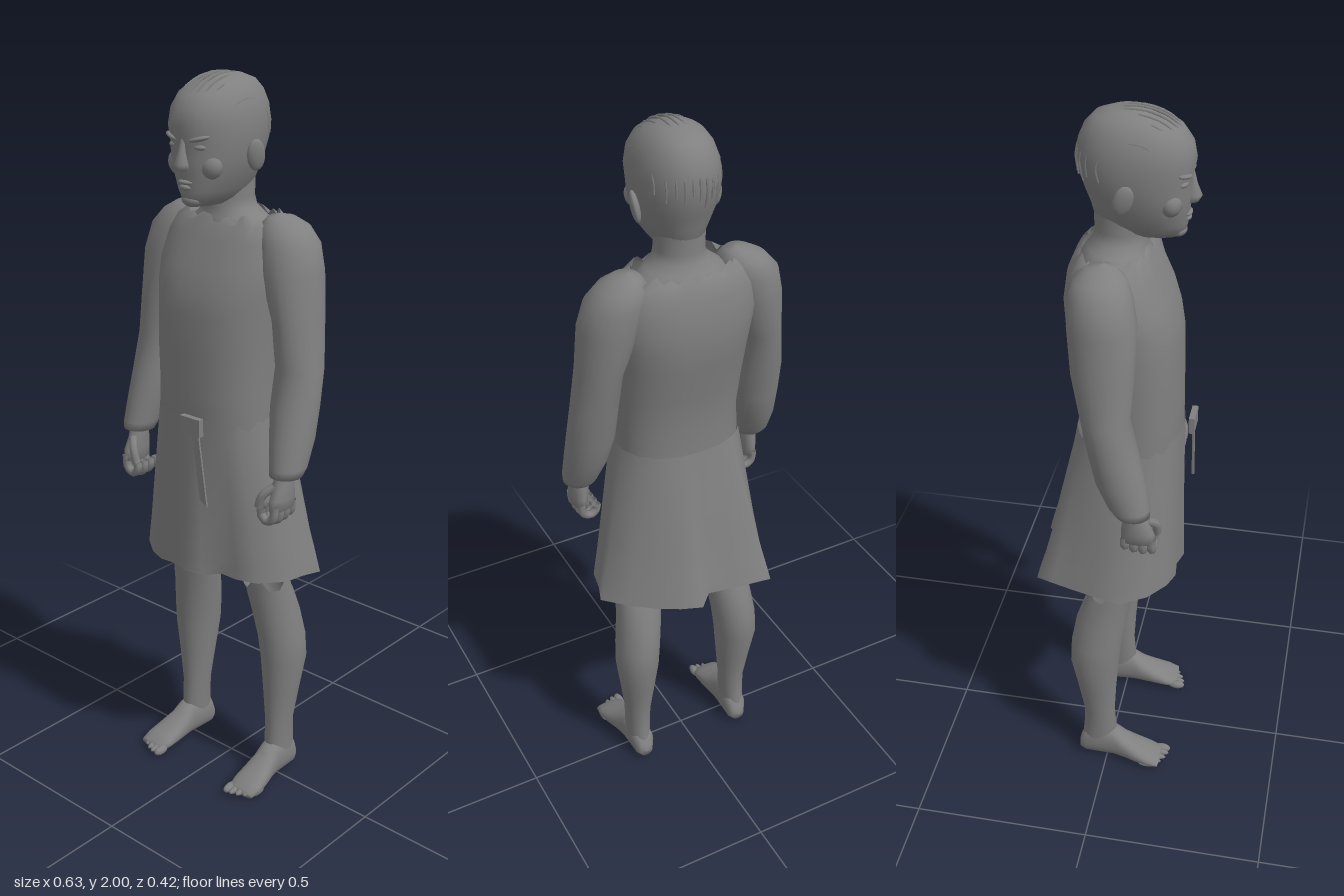
import * as THREE from 'three';

const grey = new THREE.MeshStandardMaterial({ color: 0x808080, side: THREE.DoubleSide });
grey.name = 'plain grey';

function add(group, name, geometry) {
  const mesh = new THREE.Mesh(geometry, grey);
  mesh.name = name;
  group.add(mesh);
  return mesh;
}

// Skin over closed rings of [x, y, z] points, listed from top to bottom
function skin(rings) {
  const n = rings[0].length, index = [];
  for (let i = 0; i < rings.length - 1; i++) {
    for (let j = 0; j < n; j++) {
      const a = i * n + j, b = i * n + (j + 1) % n;
      index.push(a, a + n, b, b, a + n, b + n);
    }
  }
  const g = new THREE.BufferGeometry();
  g.setAttribute('position', new THREE.Float32BufferAttribute(rings.flat(2), 3));
  g.setIndex(index);
  g.computeVertexNormals();
  return g;
}

// Point on a rounded cross-section [y, centre x, front z, back z, half width]
function sectionPoint([y, cx, zf, zb, rx], angle, power = 2) {
  const p = (v) => Math.sign(v) * Math.abs(v) ** (2 / power);
  return [cx + rx * p(Math.sin(angle)), y, (zf + zb) / 2 + (zf - zb) / 2 * p(Math.cos(angle))];
}

// Loft through sections; topEdge(j) raises or lowers the first ring to make a ragged edge
function loft(sections, { n = 24, power = 2, topEdge = null } = {}) {
  return skin(sections.map((s, i) => Array.from({ length: n }, (_, j) => {
    const p = sectionPoint(s, j / n * Math.PI * 2, power);
    if (i === 0 && topEdge) p[1] += topEdge(j);
    return p;
  })));
}

function tube(points, radius, sides = 7, steps = 10) {
  const curve = new THREE.CatmullRomCurve3(points.map((p) => new THREE.Vector3(...p)));
  return new THREE.TubeGeometry(curve, steps, radius, sides);
}

function blob(group, name, pos, size) {
  const m = add(group, name, new THREE.SphereGeometry(1, 12, 8));
  m.position.set(...pos);
  m.scale.set(...size);
  return m;
}

function buildHead() {
  const head = new THREE.Group();
  head.name = 'head';
  add(head, 'skull', loft([
    [2.0, 0, .04, .04, 0], [1.995, 0, .075, -.02, .04], [1.98, 0, .115, -.06, .068],
    [1.955, 0, .158, -.083, .088], [1.92, 0, .182, -.098, .102], [1.88, 0, .19, -.102, .107],
    [1.84, 0, .182, -.097, .105], [1.8, 0, .183, -.083, .099], [1.76, 0, .178, -.068, .087],
    [1.72, 0, .174, -.058, .068], [1.695, 0, .168, -.04, .05], [1.68, 0, .15, -.01, .03],
    [1.675, 0, .1, .1, 0],
  ], { n: 32, power: 2.15 }));
  add(head, 'neck', loft([
    [1.75, 0, .08, -.062, .066], [1.69, 0, .077, -.06, .064], [1.665, 0, .076, -.065, .07],
    [1.645, 0, .08, -.08, .095], [1.62, 0, .09, -.095, .13], [1.58, 0, .09, -.1, .15],
  ]));
  // Face
  add(head, 'nose', loft([
    [1.855, 0, .184, .16, .008], [1.82, 0, .193, .16, .012],
    [1.79, 0, .206, .16, .019], [1.775, 0, .198, .16, .02], [1.77, 0, .17, .17, 0],
  ], { n: 12 }));
  blob(head, 'upperLip', [0, 1.744, .171], [.024, .007, .013]);
  blob(head, 'lowerLip', [0, 1.731, .169], [.02, .008, .013]);
  blob(head, 'chin', [0, 1.697, .148], [.03, .018, .024]);
  for (const s of [1, -1]) {
    const brow = blob(head, 'brow', [s * .043, 1.853, .168], [.03, .007, .014]);
    brow.rotation.set(0, s * .35, s * .22);
    const eye = blob(head, 'eye', [s * .042, 1.832, .164], [.019, .008, .012]);
    eye.rotation.y = s * .3;
    blob(head, 'cheek', [s * .05, 1.785, .135], [.035, .035, .03]);
    const ear = blob(head, 'ear', [s * .108, 1.805, .03], [.012, .042, .026]);
    ear.rotation.set(.2, s * -.35, s * -.12);
  }
  // Thin strands combed from the hairline to the nape
  for (let i = -5; i <= 5; i++) {
    const pts = [];
    const k = i / 6, w = Math.sqrt(1 - k * k);
    for (let t = 0; t <= 7; t++) {
      const a = .6 + Math.abs(k) * .15 + t / 7 * (2.7 - (i % 2) * .15);
      pts.push([k * .108, 1.87 + .13 * w * Math.sin(a), .043 + .147 * w * Math.cos(a)]);
    }
    add(head, 'hairStrand', tube(pts, .0035, 4, 16));
  }
  return head;
}

function buildTunic() {
  const tunic = new THREE.Group();
  tunic.name = 'tunic';
  add(tunic, 'bodice', loft([
    [1.645, 0, .075, -.09, .135], [1.63, 0, .09, -.105, .165], [1.59, 0, .108, -.122, .19],
    [1.52, 0, .14, -.132, .2], [1.46, 0, .16, -.13, .193], [1.4, 0, .17, -.124, .185],
    [1.3, 0, .173, -.102, .18], [1.2, 0, .175, -.09, .172], [1.12, 0, .176, -.092, .175],
    [1.05, 0, .17, -.09, .17],
  ], { n: 40, power: 2.4, topEdge: (j) => [.012, -.008, .004, -.012, .008][j % 5] }));

  // Flared skirt: waist section blended into an uneven hem outline of [x, z]
  const hem = [
    [0, .192], [.05, .18], [.09, .14], [.14, .14], [.2, .12], [.25, .06], [.262, 0], [.28, -.05],
    [.22, -.11], [.16, -.155], [.1, -.19], [.042, -.212], [0, -.168], [-.08, -.182],
    [-.185, -.197], [-.2, -.15], [-.215, -.1], [-.235, -.03], [-.255, .05], [-.21, .12],
    [-.15, .165], [-.1, .183], [-.05, .178],
  ];
  const waist = [1.13, 0, .179, -.106, .177];
  const rings = [0, .12, .28, .45, .62, .8, .92, 1].map((t) => hem.map(([x, z]) => {
    const w = sectionPoint(waist, Math.atan2(x / .26, z / .19), 2.3);
    const k = t < .92 ? t * .97 : t;
    return [w[0] + (x - w[0]) * k, 1.13 - .45 * t, w[2] + (z - w[2]) * k];
  }));
  add(tunic, 'skirt', skin(rings));

  // Belt buckle with a hanging strap end
  const buckle = add(tunic, 'buckle', new THREE.BoxGeometry(.068, .048, .016));
  buckle.position.set(.037, 1.117, .199);
  const strap = new THREE.Shape([[.04, 1.095], [.062, 1.095], [.09, .9], [.066, .915]]
    .map((p) => new THREE.Vector2(...p)));
  add(tunic, 'strapEnd', new THREE.ExtrudeGeometry(strap, { depth: .005, bevelEnabled: false }))
    .position.z = .196;
  return tunic;
}

function buildArm(s) {
  const arm = new THREE.Group();
  arm.name = s > 0 ? 'leftArm' : 'rightArm';
  add(arm, 'sleeve', loft([
    [1.66, .15, -.01, -.01, 0], [1.652, .158, .025, -.05, .035], [1.63, .168, .052, -.08, .064],
    [1.59, .185, .07, -.09, .083], [1.52, .203, .085, -.09, .081], [1.4, .232, .085, -.076, .059],
    [1.28, .246, .077, -.05, .064], [1.18, .25, .1, -.03, .065], [1.1, .259, .12, -.01, .057],
    [1.03, .268, .134, .025, .047], [1.008, .268, .135, .045, .043], [1.0, .266, .09, .09, 0],
  ].map(([y, x, ...r]) => [y, s * x, ...r])));
  add(arm, 'palm', loft([
    [1.02, .265, .12, .065, .024], [.985, .266, .13, .062, .024], [.95, .268, .148, .058, .023],
    [.92, .267, .15, .058, .02], [.905, .266, .1, .1, 0],
  ].map(([y, x, ...r]) => [y, s * x, ...r]), { n: 14 }));
  for (let i = 0; i < 4; i++) {
    const z = .068 + i * .024, d = [.008, .002, 0, .004][i];
    add(arm, 'finger', tube([[s * .272, .935, z], [s * .268, .895 + d, z], [s * .246, .883 + d, z],
      [s * .227, .9 + d, z], [s * .23, .922, z]], .012));
  }
  add(arm, 'thumb', tube([[s * .26, .985, .125], [s * .237, .96, .146], [s * .225, .925, .148]], .012));
  return arm;
}

function buildLeg(s) {
  const leg = new THREE.Group();
  leg.name = s > 0 ? 'leftLeg' : 'rightLeg';
  add(leg, 'shin', loft([
    [.635, .136, .07, -.055, .066], [.6, .141, .064, -.068, .065], [.53, .15, .052, -.092, .064],
    [.45, .161, .04, -.106, .064], [.38, .166, .033, -.108, .062], [.28, .164, .025, -.088, .05],
    [.18, .163, .02, -.07, .038], [.11, .164, .026, -.073, .035], [.04, .165, .02, -.08, .03],
  ].map(([y, x, ...r]) => [y, s * x, ...r]), { topEdge: (j) => (j % 6 < 3 ? .012 : -.012) }));
  // Foot lofted from toe to heel, then laid along z
  add(leg, 'foot', loft([
    [.165, .176, -.02, -.02, 0], [.16, .176, -.01, -.035, .043], [.13, .175, -.008, -.05, .048],
    [.09, .172, -.008, -.068, .045], [.05, .168, -.008, -.09, .038], [.02, .166, -.008, -.115, .035],
    [-.03, .164, -.006, -.12, .034], [-.065, .163, -.006, -.1, .032], [-.083, .163, -.014, -.06, .02],
    [-.088, .163, -.035, -.035, 0],
  ].map(([y, x, ...r]) => [y, s * x, ...r]), { power: 2.3 }).rotateX(Math.PI / 2));
  // Five toes, the biggest on the inner side
  for (let i = 0; i < 5; i++) {
    const r = i === 0 ? .013 : .0095 - i * .0003;
    blob(leg, 'toe', [s * (.139 + i * .0185), .021, .163 - i * i * .0022], [r, r, .026]);
  }
  return leg;
}

export function createModel() {
  const model = new THREE.Group();
  model.name = 'figure';
  model.add(buildHead(), buildTunic());
  for (const s of [1, -1]) model.add(buildArm(s), buildLeg(s));
  return model;
}
